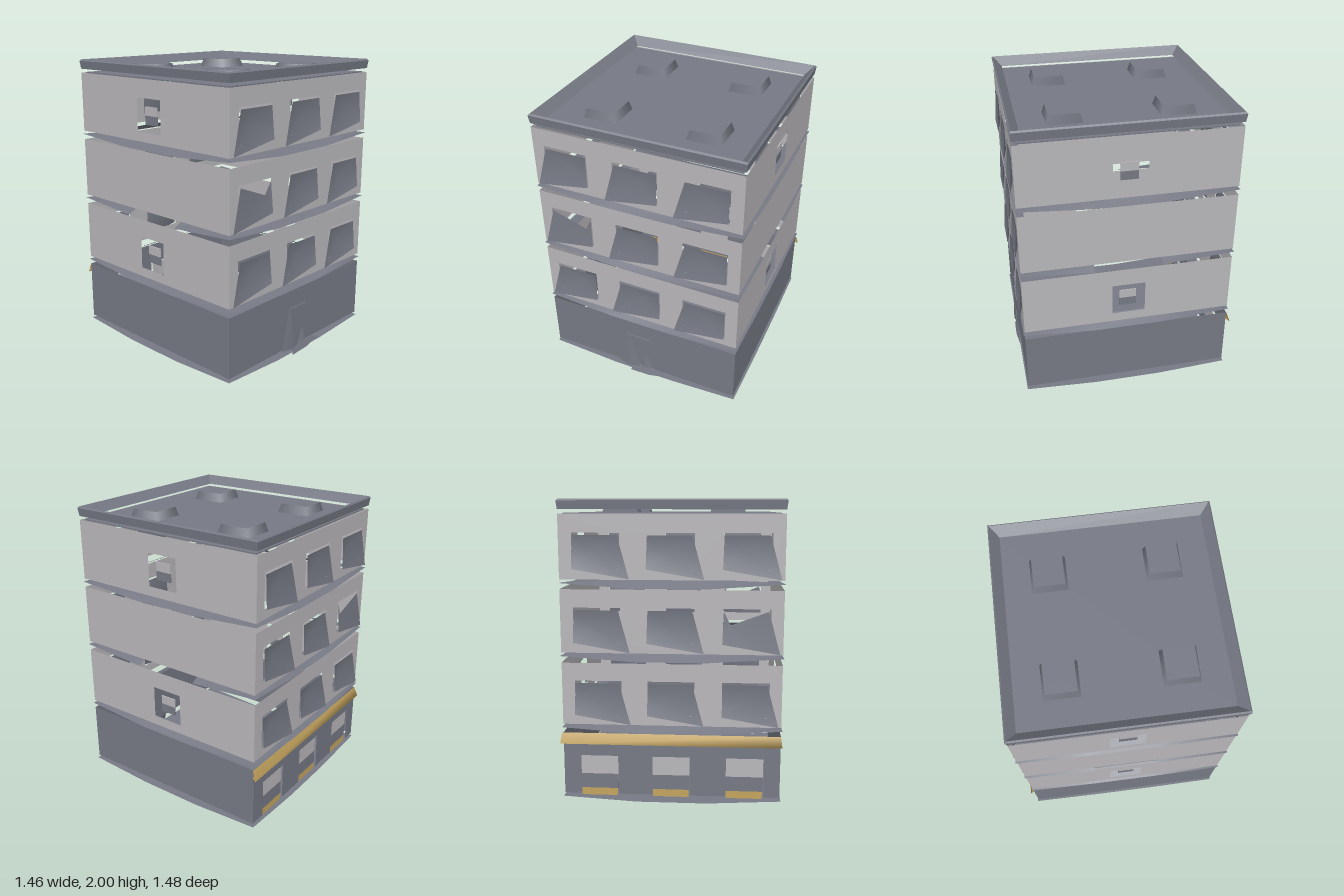
import * as THREE from 'three';

export function createModel() {
  const model = new THREE.Group();
  const mat = (name, color) => {
    const m = new THREE.MeshStandardMaterial({ color, side: THREE.DoubleSide });
    m.name = name;
    return m;
  };
  const light = mat('lightWall', 0xb8b6b9);
  const dark = mat('slate', 0x767984);
  const gold = mat('gold', 0xc4a45e);

  const CX = -0.005, CZ = 0.013, H = 0.715; // footprint centre and half size
  const WINDOWS = [-0.485, 0, 0.475];

  const add = (parent, name, geo, material, x = 0, y = 0, z = 0, ry = 0) => {
    const mesh = new THREE.Mesh(geo, material);
    mesh.name = name;
    mesh.position.set(x, y, z);
    mesh.rotation.y = ry;
    parent.add(mesh);
    return mesh;
  };
  const group = (name) => {
    const g = new THREE.Group();
    g.name = name;
    model.add(g);
    return g;
  };
  const facets = (points, index) => {
    const g = new THREE.BufferGeometry();
    g.setAttribute('position', new THREE.Float32BufferAttribute(points.flat(), 3));
    g.setIndex(index);
    g.computeVertexNormals();
    return g;
  };

  // Flat wall with rectangular openings [x0, x1, y0, y1]
  const wall = (height, holes) => {
    const rect = (s, x0, x1, y0, y1) => s.moveTo(x0, y0).lineTo(x1, y0).lineTo(x1, y1).lineTo(x0, y1).closePath();
    const shape = rect(new THREE.Shape(), -H, H, 0, height);
    holes.forEach((h) => shape.holes.push(rect(new THREE.Path(), ...h)));
    return new THREE.ShapeGeometry(shape);
  };
  const shell = (parent, y, height, material, front, back, side) => {
    add(parent, 'frontWall', wall(height, front), material, CX, y, CZ + H);
    add(parent, 'backWall', wall(height, back), material, CX, y, CZ - H);
    add(parent, 'leftWall', wall(height, side), material, CX + H, y, CZ, Math.PI / 2);
    add(parent, 'rightWall', wall(height, side), material, CX - H, y, CZ, -Math.PI / 2);
  };

  // Dented pane with one kicked-out lower corner; a broken one lacks its top facet
  const pane = (dir, broken) => {
    const p = [[-0.14, 0.28, 0], [0.145, 0.28, 0], [0.153, 0.068, 0.015], [-0.215, 0.005, 0.012],
      broken ? [0.1, 0.19, -0.01] : [0, 0.17, -0.035]];
    p.forEach((v) => { v[2] *= dir; });
    const tris = [[4, 1, 0], [4, 2, 1], [4, 3, 2], [4, 0, 3]].slice(broken ? 1 : 0);
    return facets(p, tris.flatMap(([a, b, c]) => (dir > 0 ? [a, c, b].reverse() : [a, b, c])));
  };

  // Square outline whose edges sag in the middle, as 12 points
  const outline = (half, yCorner, yMid) => {
    const pts = [];
    for (let k = 0; k < 4; k++) {
      const c = Math.round(Math.cos(k * Math.PI / 2)), s = Math.round(Math.sin(k * Math.PI / 2));
      [[-half, yCorner], [-0.23, yMid], [0.23, yMid]].forEach(([u, y]) =>
        pts.push([CX + u * c + half * s, y, CZ - u * s + half * c]));
    }
    return pts;
  };
  const sagRing = (y, openSides) => {
    const pts = [...outline(H + 0.008, y - 0.022, y - 0.056), ...outline(H - 0.1, y - 0.018, y - 0.004)];
    const index = [];
    for (let i = 0; i < 12; i++) {
      if (openSides && (i === 4 || i === 10)) continue;
      const j = (i + 1) % 12;
      index.push(i, j, j + 12, i, j + 12, i + 12);
    }
    return facets(pts, index);
  };

  // Ground floor
  const base = group('groundFloor');
  const doors = WINDOWS.map((x) => [x - 0.125, x + 0.125, 0, 0.265]);
  shell(base, 0.06, 0.42, dark, [], doors, []);
  const floor = [...outline(H + 0.008, 0.038, 0.01), [CX, 0.012, CZ]];
  add(base, 'bottomSlab', facets(floor, Array.from({ length: 12 }, (_, i) => [12, (i + 1) % 12, i]).flat()), dark);
  for (const x of WINDOWS) {
    const z = CZ - H + 0.015;
    add(base, 'shutterTop', new THREE.BoxGeometry(0.25, 0.13, 0.008), light, x, 0.26, z);
    add(base, 'shutterBottom', new THREE.BoxGeometry(0.25, 0.1, 0.008), dark, x, 0.145, z);
    add(base, 'sill', new THREE.BoxGeometry(0.24, 0.05, 0.008), gold, x, 0.07, z);
  }

  // Sloping awning over the rear openings
  const zb = CZ - H;
  add(base, 'awning', facets([[-0.72, 0.48, zb], [0.72, 0.48, zb], [0.73, 0.41, zb - 0.025], [-0.73, 0.41, zb - 0.025],
    [0.72, 0.43, zb], [-0.72, 0.43, zb]], [0, 1, 2, 0, 2, 3, 3, 2, 4, 3, 4, 5]), gold);

  // Entrance wedge, small peak, lintel and doorstep
  const zf = CZ + H;
  add(base, 'entranceWedge', facets([[-0.19, 0.05, zf + 0.005], [-0.12, 0.35, zf + 0.005], [-0.09, 0.35, zf + 0.008],
    [-0.02, 0.06, zf + 0.01], [-0.1, 0.05, zf + 0.025]], [0, 4, 1, 1, 4, 2, 4, 3, 2]), dark);
  add(base, 'entrancePeak', facets([[-0.01, 0.06, zf + 0.004], [0.02, 0.17, zf + 0.006], [0.06, 0.16, zf + 0.006],
    [0.08, 0.07, zf + 0.004], [0.04, 0.08, zf + 0.022]], [0, 4, 1, 1, 4, 2, 4, 3, 2]), dark);
  add(base, 'lintel', new THREE.BoxGeometry(0.19, 0.006, 0.008), dark, -0.025, 0.345, zf + 0.004);
  add(base, 'doorstep', facets([[-0.09, 0, zf + 0.022], [0.06, 0.01, zf + 0.025], [0.22, 0.035, zf + 0.01],
    [0.06, 0.075, zf], [-0.08, 0.065, zf]], [0, 1, 4, 1, 3, 4, 1, 2, 3]), dark);

  // Three upper storeys
  [0.54, 1.02, 1.495].forEach((y, n) => {
    const storey = group('storey' + (n + 1));
    const openings = WINDOWS.map((x) => [x - 0.15, x + 0.155, 0.065, 0.295]);
    shell(storey, y, 0.413, light, openings, openings, n === 1 ? [] : [[-0.113, 0.113, 0.065, 0.29]]);
    add(storey, 'ledge', sagRing(y, n === 1), dark);
    WINDOWS.forEach((x, i) => {
      for (const dir of [1, -1]) {
        add(storey, 'windowPane', pane(dir, n === 1 && i === 0), dark, x, y, CZ + dir * (H + 0.004));
      }
    });
    if (n === 1) return;
    for (const dir of [1, -1]) {
      const x = CX + dir * (H - 0.02);
      add(storey, 'sashTop', new THREE.BoxGeometry(0.008, 0.06, 0.115), light, x, y + 0.205, 0.017);
      add(storey, 'sashBottom', new THREE.BoxGeometry(0.008, 0.06, 0.115), dark, x, y + 0.145, 0.017);
    }
  });

  // Roof plate, parapet and skylights
  const roof = group('roof');
  add(roof, 'roofPlate', new THREE.BoxGeometry(1.38, 0.008, 1.38), dark, CX, 1.909, CZ);
  const profile = [[0.715, 1.935], [0.722, 1.99], [0.712, 2], [0.655, 1.94], [0.715, 1.935]];
  for (let k = 0; k < 4; k++) {
    const pts = profile.flatMap(([r, y]) => [[-r, y, r], [r, y, r]]);
    const index = [];
    for (let i = 0; i < 8; i += 2) index.push(i, i + 1, i + 3, i, i + 3, i + 2);
    const strip = facets(pts, index).toNonIndexed();
    strip.computeVertexNormals();
    add(roof, 'parapet', strip, dark, CX, 0, CZ, k * Math.PI / 2);
  }
  for (const x of [-0.36, 0.35]) {
    for (const z of [-0.355, 0.375]) {
      const box = new THREE.CylinderGeometry(0.14, 0.163, 0.06, 4, 1).rotateY(Math.PI / 4);
      add(roof, 'skylight', box, dark, x, 1.943, z);
    }
  }
  return model;
}
